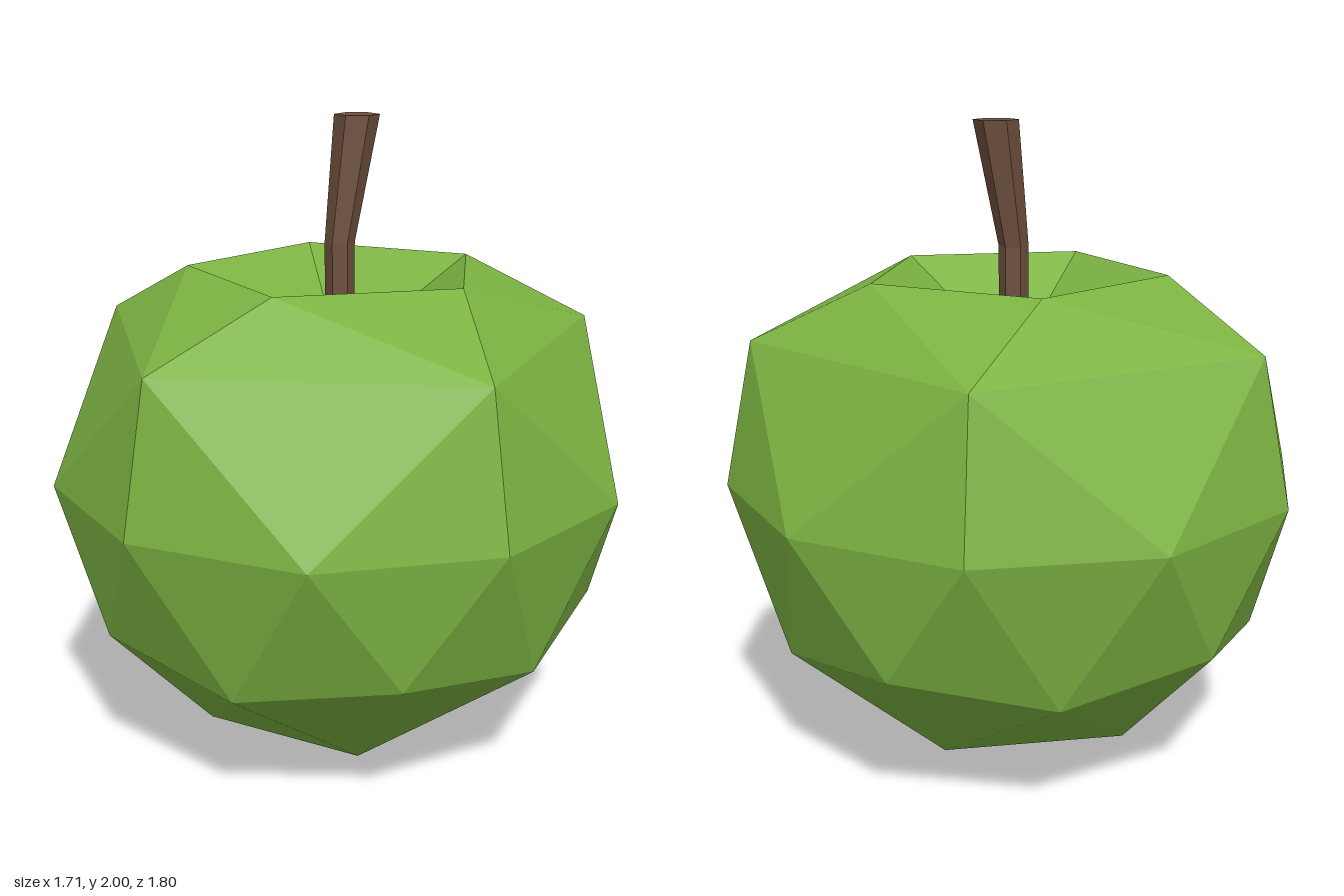
import * as THREE from 'three';

// Ring of points around the y axis, starting at a given angle in degrees
function ring(count, startDeg, radius, y) {
  return Array.from({ length: count }, (_, i) => {
    const a = THREE.MathUtils.degToRad(startDeg + (i * 360) / count);
    return [Math.cos(a) * radius, y, Math.sin(a) * radius];
  });
}

function createFruit(material) {
  // Cross-sections from the stem dent down to the base
  const dent = [0, 1.26, 0];
  const rim = ring(5, 0, 0.473, 1.54);
  const shoulder = ring(5, 18, 0.808, 1.352);
  const equator = ring(10, 18, 0.9, 0.9);
  const low = ring(10, 0, 0.766, 0.426);
  ring(5, 36, 0.805, 0.498).forEach((p, i) => { low[2 * i + 1] = p; });
  const base = ring(5, 36, 0.473, 0.134);
  const tip = [-0.08, 0, 0.25];
  base[1] = tip; // the lowest point sits off centre, on the front side

  const positions = [];
  const tri = (a, b, c) => positions.push(...a, ...b, ...c);

  for (let i = 0; i < 5; i++) {
    const j = (i + 1) % 5;
    const e = 2 * i, e1 = e + 1, e2 = (e + 2) % 10, eLast = (e + 9) % 10;
    // Dent and shoulder
    tri(dent, rim[j], rim[i]);
    tri(shoulder[i], rim[i], rim[j]);
    tri(rim[j], shoulder[j], shoulder[i]);
    // Shoulder to equator
    tri(equator[e1], shoulder[i], shoulder[j]);
    tri(shoulder[i], equator[e], equator[eLast]);
    tri(shoulder[i], equator[e1], equator[e]);
    // Lower side to base
    tri(base[i], low[e], low[e1]);
    tri(base[i], low[e1], low[e2]);
    tri(low[e2], base[j], base[i]);
    // Underside fan
    if (i !== 1 && j !== 1) tri(tip, base[i], base[j]);
  }
  // Equator to lower side
  for (let k = 0; k < 10; k++) {
    const n = (k + 1) % 10;
    tri(equator[k], low[n], low[k]);
    tri(low[n], equator[k], equator[n]);
  }

  const geometry = new THREE.BufferGeometry();
  geometry.setAttribute('position', new THREE.Float32BufferAttribute(positions, 3));
  geometry.computeVertexNormals();
  const fruit = new THREE.Mesh(geometry, material);
  fruit.name = 'fruit';
  return fruit;
}

function createStem(material) {
  // Six-sided stem: straight at the foot, then leaning and widening to a flat top
  const sections = [
    { x: 0, y: 1.2, r: 0.045 },
    { x: 0, y: 1.62, r: 0.046 },
    { x: 0.06, y: 2, r: 0.069 },
  ];
  const geometry = new THREE.CylinderGeometry(1, 1, 2, 6, 2);
  const p = geometry.attributes.position;
  for (let i = 0; i < p.count; i++) {
    const s = sections[Math.round(p.getY(i) + 1)];
    p.setXYZ(i, s.x + p.getX(i) * s.r, s.y, p.getZ(i) * s.r);
  }
  geometry.computeVertexNormals();
  const stem = new THREE.Mesh(geometry, material);
  stem.name = 'stem';
  return stem;
}

export function createModel() {
  const green = new THREE.MeshStandardMaterial({ color: 0x7cb342, flatShading: true });
  green.name = 'apple green';
  const brown = new THREE.MeshStandardMaterial({ color: 0x6d4f3d, flatShading: true });
  brown.name = 'stem brown';

  const apple = new THREE.Group();
  apple.name = 'apple';
  apple.add(createFruit(green), createStem(brown));
  return apple;
}
